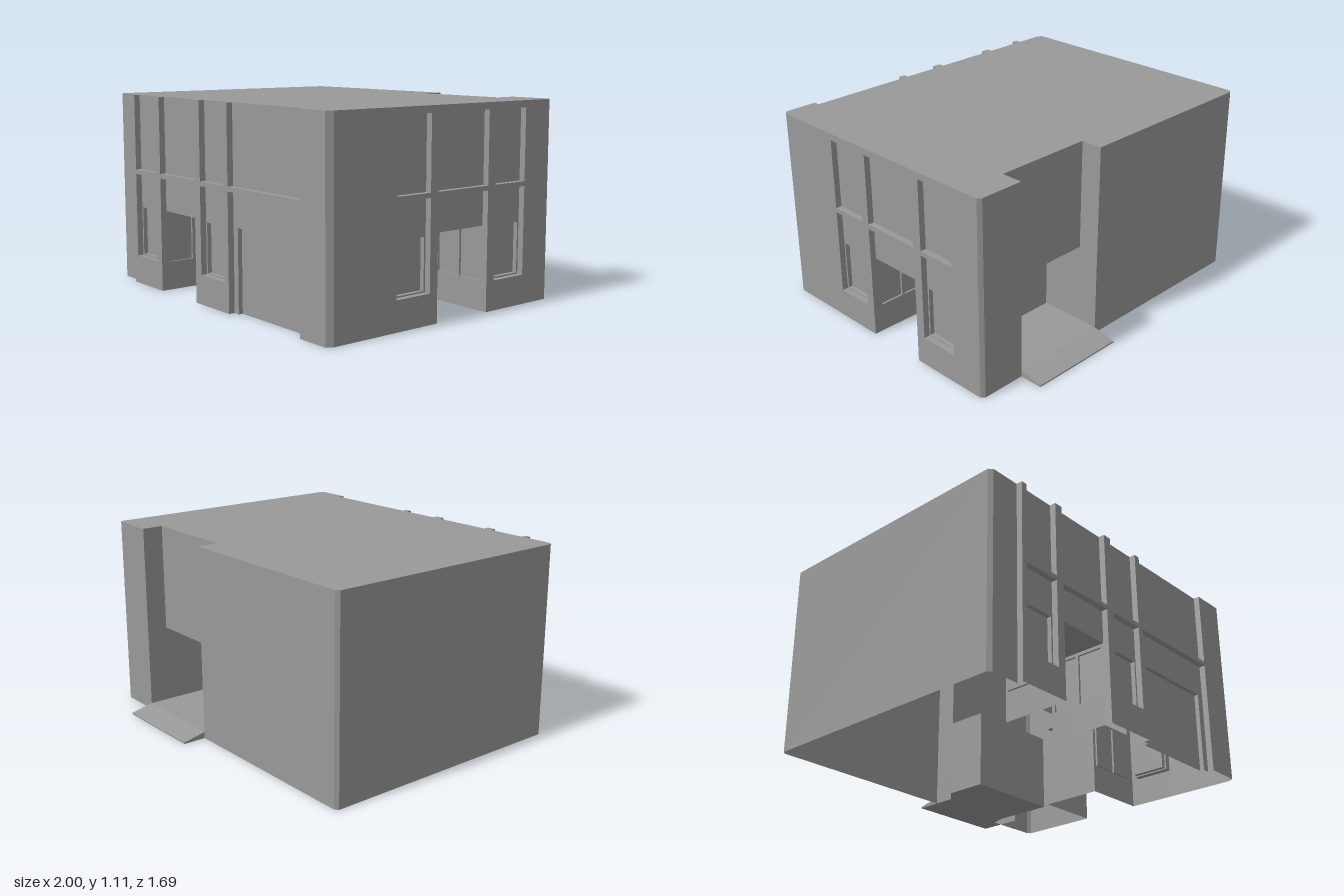
import * as THREE from 'three';

const H = 1.105;                       // roof height
const FRONT = 0.845, DEEP = 0.035;     // facade plane and bay recess depth
const DOOR = 0.458, SILL = 0.163;
const material = new THREE.MeshStandardMaterial({ color: 0x999999, side: THREE.DoubleSide, flatShading: true });

// Collects quads (corners counter-clockwise from outside) into one mesh
function sheet() {
  const pos = [];
  return {
    quad(a, b, c, d) { pos.push(...a, ...b, ...c, ...a, ...c, ...d); },
    mesh(name) {
      const g = new THREE.BufferGeometry();
      g.setAttribute('position', new THREE.Float32BufferAttribute(pos, 3));
      g.computeVertexNormals();
      const m = new THREE.Mesh(g, material);
      m.name = name;
      return m;
    }
  };
}

// Flat panel facing +z with recessed openings, which may hold openings of their own
function panel(s, [u0, u1, v0, v1], w, openings = []) {
  const lines = (lo, hi, i) => [...new Set([lo, hi, ...openings.flatMap(o => [o.r[i], o.r[i + 1]])])].sort((a, b) => a - b);
  const us = lines(u0, u1, 0), vs = lines(v0, v1, 2);
  for (let i = 0; i < us.length - 1; i++) for (let j = 0; j < vs.length - 1; j++) {
    const [a, b, c, d] = [us[i], us[i + 1], vs[j], vs[j + 1]];
    const u = (a + b) / 2, v = (c + d) / 2;
    if (openings.some(({ r }) => u > r[0] && u < r[1] && v > r[2] && v < r[3])) continue;
    s.quad([a, c, w], [b, c, w], [b, d, w], [a, d, w]);
  }
  for (const { r: [a, b, c, d], depth, inner } of openings) {
    if (!depth) continue;              // plain hole
    const z = w - depth;
    s.quad([a, c, w], [a, c, z], [a, d, z], [a, d, w]);
    s.quad([b, c, z], [b, c, w], [b, d, w], [b, d, z]);
    if (c > 0) s.quad([a, c, w], [b, c, w], [b, c, z], [a, c, z]);
    if (d < H) s.quad([a, d, z], [b, d, z], [b, d, w], [a, d, w]);
    panel(s, [a, b, c, d], z, inner);
  }
}

function panelMesh(name, rect, w, openings) {
  const s = sheet();
  panel(s, rect, w, openings);
  return s.mesh(name);
}

// Bay types
const upperBay = (a, b, top) => ({ r: [a, b, 0.673, top], depth: DEEP });
const windowBay = (a, b) => ({
  r: [a, b, SILL, 0.647], depth: DEEP,
  inner: [{ r: [a + 0.01, b - 0.01, SILL + 0.008, 0.448], depth: 0.025 }]
});
const doorBay = (a, b) => ({ r: [a, b, 0, 0.647], depth: DEEP, inner: [{ r: [a, b, 0, DOOR] }] });
const garageBay = (a, b) => ({
  r: [a, b, 0, 0.647], depth: DEEP,
  inner: [{ r: [a + 0.038, b - 0.042, 0, DOOR], depth: 0.025 }]
});

// Recessed porch behind a doorway, glazed on both sides
function porch(a, b, w, depth, backBottom) {
  const g = new THREE.Group();
  g.name = 'entrancePorch';
  const h = depth / 2;
  const panes = [-1, 1].map(k => {
    const c = k * h * 0.47, p = h * 0.42;
    return { r: [c - p, c + p, SILL, 0.44], depth: 0.012 };
  });
  for (const [u, turn] of [[a, 1], [b, -1]]) {
    const side = panelMesh('porchSide', [-h, h, 0, DOOR], 0, panes);
    side.position.set(u, 0, w - h);
    side.rotation.y = turn * Math.PI / 2;
    g.add(side);
  }
  g.add(panelMesh('porchBack', [a, b, backBottom, DOOR], w - depth));
  const s = sheet();
  s.quad([a, DOOR, w - depth], [b, DOOR, w - depth], [b, DOOR, w], [a, DOOR, w]);
  g.add(s.mesh('porchCeiling'));
  return g;
}

// Vertical walls along a footprint of [x, z] points
function walls(s, points, y0, y1) {
  for (let i = 0; i < points.length - 1; i++) {
    const [x0, z0] = points[i], [x1, z1] = points[i + 1];
    s.quad([x0, y0, z0], [x1, y0, z1], [x1, y1, z1], [x0, y1, z0]);
  }
}

export function createModel() {
  const model = new THREE.Group();
  model.name = 'building';

  // Front facade
  const bays = [[-0.775, -0.55], [-0.5, -0.14], [-0.086, 0.14], [0.178, 0.786]];
  const kinds = [windowBay, doorBay, windowBay, garageBay];
  const front = new THREE.Group();
  front.name = 'frontFacade';
  front.add(panelMesh('frontWall', [-0.81, 0.98, 0, H], FRONT,
    bays.flatMap(([a, b], i) => [upperBay(a, b, H), kinds[i](a, b)])));
  front.add(porch(-0.5, -0.14, FRONT - DEEP, 0.355, 0.16));
  model.add(front);

  // Side facade on +x, drawn facing +z and turned
  const sideBays = [[-0.415, -0.19], [-0.138, 0.223], [0.277, 0.505]];
  const sideKinds = [windowBay, doorBay, windowBay];
  const side = new THREE.Group();
  side.name = 'leftFacade';
  side.add(panelMesh('leftWall', [-0.81, 0.693, 0, H], 1,
    sideBays.flatMap(([a, b], i) => [upperBay(a, b, 1.067), sideKinds[i](a, b)])));
  side.add(porch(-0.138, 0.223, 1 - DEEP, 0.345, 0));
  side.rotation.y = Math.PI / 2;
  model.add(side);

  // Plain walls and chamfered corners
  const X0 = 0.153, X1 = 0.726, BACK = -0.71, NOTCH = -0.587, INNER = -0.345, TOP = 0.49, FLOOR = 0.037;
  const s = sheet();
  const corner = [[0.98, FRONT], [1, 0.81]];
  const backLeft = [[1, -0.693], [0.98, BACK], [X1, BACK], [X1, NOTCH]];
  const backRight = [[X0, NOTCH], [X0, BACK], [-0.98, BACK], [-1, -0.693], [-1, 0.79],
    [-0.98, 0.81], [-0.81, 0.81], [-0.81, FRONT]];
  [corner, backLeft, backRight].forEach(p => walls(s, p, 0, H));
  model.add(s.mesh('outerWalls'));

  // Loading recess at the back
  const dock = sheet();
  walls(dock, [[X1, NOTCH], [X0, NOTCH]], TOP, H);
  walls(dock, [[X1, NOTCH], [X1, INNER], [X0, INNER], [X0, NOTCH]], FLOOR, TOP);
  dock.quad([X0, TOP, INNER], [X1, TOP, INNER], [X1, TOP, NOTCH], [X0, TOP, NOTCH]);
  model.add(dock.mesh('loadingRecess'));

  // Recess floor and closed ramp wedge
  const ramp = sheet(), END = -0.845, LIP = 0.008;
  ramp.quad([X0, FLOOR, INNER], [X1, FLOOR, INNER], [X1, FLOOR, BACK], [X0, FLOOR, BACK]);
  ramp.quad([X0, FLOOR, BACK], [X1, FLOOR, BACK], [X1, LIP, END], [X0, LIP, END]);
  ramp.quad([X0, 0, END], [X1, 0, END], [X1, 0, BACK], [X0, 0, BACK]);
  walls(ramp, [[X1, END], [X0, END]], 0, LIP);
  ramp.quad([X1, 0, BACK], [X1, 0, END], [X1, LIP, END], [X1, FLOOR, BACK]);
  ramp.quad([X0, 0, END], [X0, 0, BACK], [X0, FLOOR, BACK], [X0, LIP, END]);
  model.add(ramp.mesh('loadingRamp'));

  // Roof, cut back above each front bay
  const z = FRONT - DEEP;
  const edge = bays.flatMap(([a, b]) => [[a, FRONT], [a, z], [b, z], [b, FRONT]]);
  const outline = [...edge, ...corner, ...backLeft, ...backRight].map(([x, d]) => new THREE.Vector2(x, -d));
  const roof = new THREE.Mesh(new THREE.ShapeGeometry(new THREE.Shape(outline)), material);
  roof.name = 'roof';
  roof.rotation.x = -Math.PI / 2;
  roof.position.y = H;
  model.add(roof);

  return model;
}
